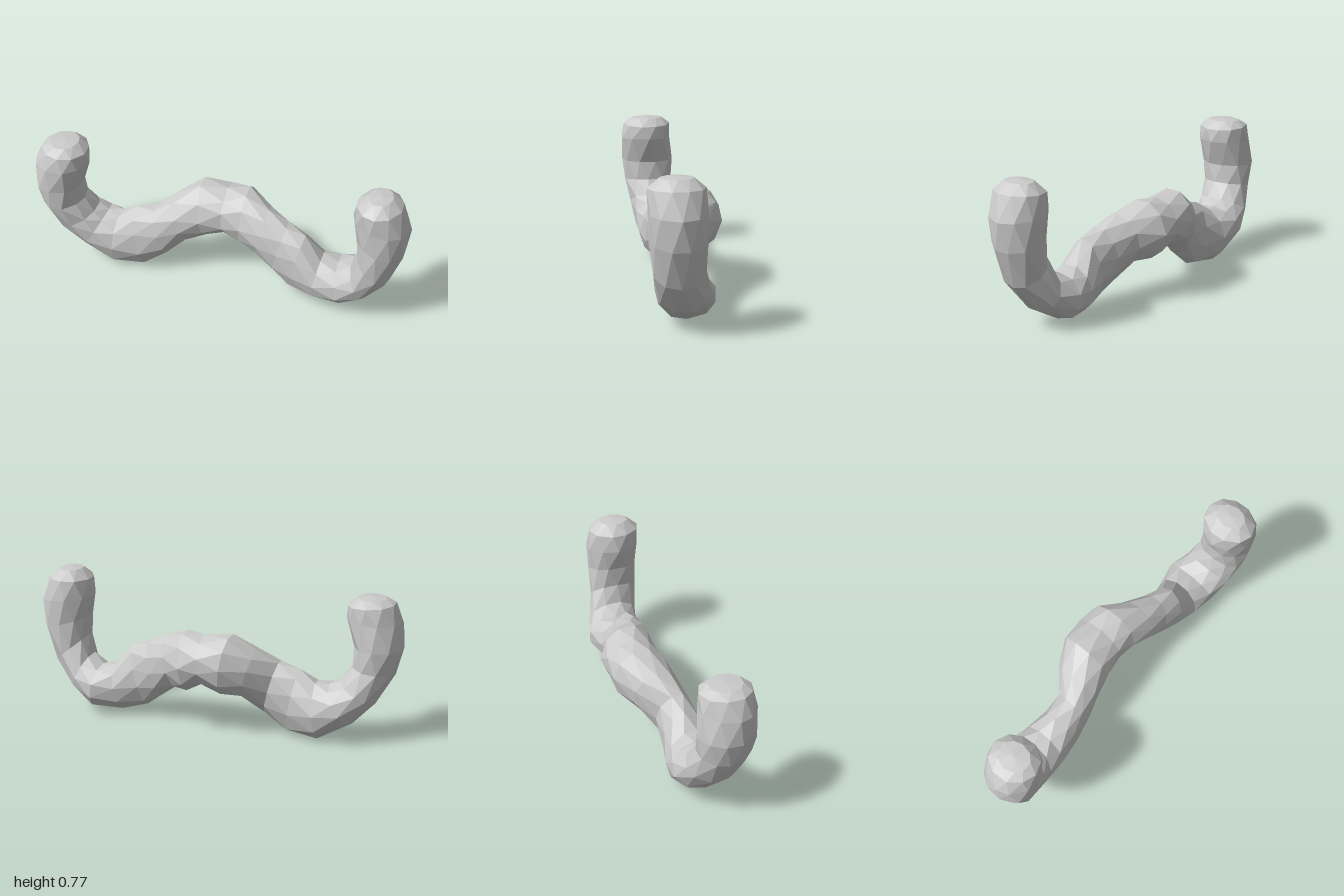
import * as THREE from 'three';

// Cross-sections from the left-hand tip to the other:
// inner edge x, y, outer edge x, y, back z, front z
const SECTIONS = [
  [-0.755, 0.772, -0.90, 0.768, 0.00, 0.17],
  [-0.71, 0.73, -0.945, 0.745, -0.045, 0.215],
  [-0.705, 0.66, -0.985, 0.65, -0.05, 0.232],
  [-0.75, 0.52, -0.995, 0.52, -0.06, 0.225],
  [-0.745, 0.42, -0.965, 0.39, -0.055, 0.21],
  [-0.69, 0.345, -0.885, 0.24, -0.085, 0.185],
  [-0.64, 0.315, -0.76, 0.11, -0.12, 0.165],
  [-0.57, 0.315, -0.59, 0.012, -0.11, 0.15],
  [-0.48, 0.37, -0.42, 0.03, -0.08, 0.13],
  [-0.37, 0.40, -0.30, 0.125, -0.075, 0.115],
  [-0.27, 0.47, -0.20, 0.21, -0.165, 0.09],
  [-0.14, 0.545, -0.10, 0.235, -0.228, 0.065],
  [0.00, 0.53, 0.00, 0.275, -0.23, 0.05],
  [0.11, 0.54, 0.09, 0.235, -0.225, 0.06],
  [0.24, 0.485, 0.18, 0.22, -0.14, 0.085],
  [0.35, 0.44, 0.28, 0.14, -0.095, 0.10],
  [0.45, 0.40, 0.37, 0.08, -0.07, 0.12],
  [0.545, 0.295, 0.50, 0.045, -0.10, 0.14],
  [0.63, 0.275, 0.66, 0.045, -0.13, 0.155],
  [0.705, 0.315, 0.79, 0.12, -0.09, 0.175],
  [0.735, 0.41, 0.905, 0.27, -0.06, 0.195],
  [0.73, 0.52, 0.975, 0.46, -0.065, 0.21],
  [0.705, 0.64, 0.99, 0.61, -0.065, 0.215],
  [0.715, 0.73, 0.945, 0.735, -0.055, 0.215],
  [0.77, 0.78, 0.89, 0.78, 0.00, 0.16],
];
const SIDES = 10;

function seeded(seed) {
  return () => {
    seed = (seed * 16807) % 2147483647;
    return seed / 2147483647;
  };
}

// Faceted tube with slightly uneven, staggered rings and closed tips
function lumpyTube(sections) {
  const random = seeded(77);
  const positions = [];
  const index = [];
  const last = sections.length - 1;

  sections.forEach(([ix, iy, ox, oy, back, front], i) => {
    for (let j = 0; j < SIDES; j++) {
      const angle = ((j + (i % 2) * 0.5 + (random() - 0.5) * 0.25) / SIDES) * Math.PI * 2;
      const size = 1.02 + (random() - 0.5) * 0.05;
      const n = (Math.cos(angle) * size) / 2;
      const d = (Math.sin(angle) * size) / 2;
      positions.push(
        (ix + ox) / 2 + (ix - ox) * n,
        (iy + oy) / 2 + (iy - oy) * n,
        (back + front) / 2 + (front - back) * d
      );
    }
  });

  for (let i = 0; i < last; i++) {
    for (let j = 0; j < SIDES; j++) {
      const k = (j + 1) % SIDES;
      const a = i * SIDES + j, b = i * SIDES + k;
      const c = a + SIDES, d = b + SIDES;
      // Diagonals follow the stagger of the rings
      if (i % 2) index.push(a, b, d, a, d, c);
      else index.push(a, b, c, b, d, c);
    }
  }

  // Rounded tips
  const tip = positions.length / 3;
  for (const [ix, iy, ox, oy, back, front] of [sections[0], sections[last]]) {
    positions.push((ix + ox) / 2, (iy + oy) / 2 + 0.008, (back + front) / 2);
  }
  for (let j = 0; j < SIDES; j++) {
    const k = (j + 1) % SIDES;
    index.push(tip, k, j, tip + 1, last * SIDES + j, last * SIDES + k);
  }

  const geometry = new THREE.BufferGeometry();
  geometry.setAttribute('position', new THREE.Float32BufferAttribute(positions, 3));
  geometry.setIndex(index);
  const flat = geometry.toNonIndexed();
  flat.computeVertexNormals();
  return flat;
}

export function createModel() {
  const group = new THREE.Group();
  group.name = 'curledTube';
  const material = new THREE.MeshStandardMaterial({ color: 0xcccccc, flatShading: true });
  const body = new THREE.Mesh(lumpyTube(SECTIONS), material);
  body.name = 'body';
  group.add(body);
  return group;
}
